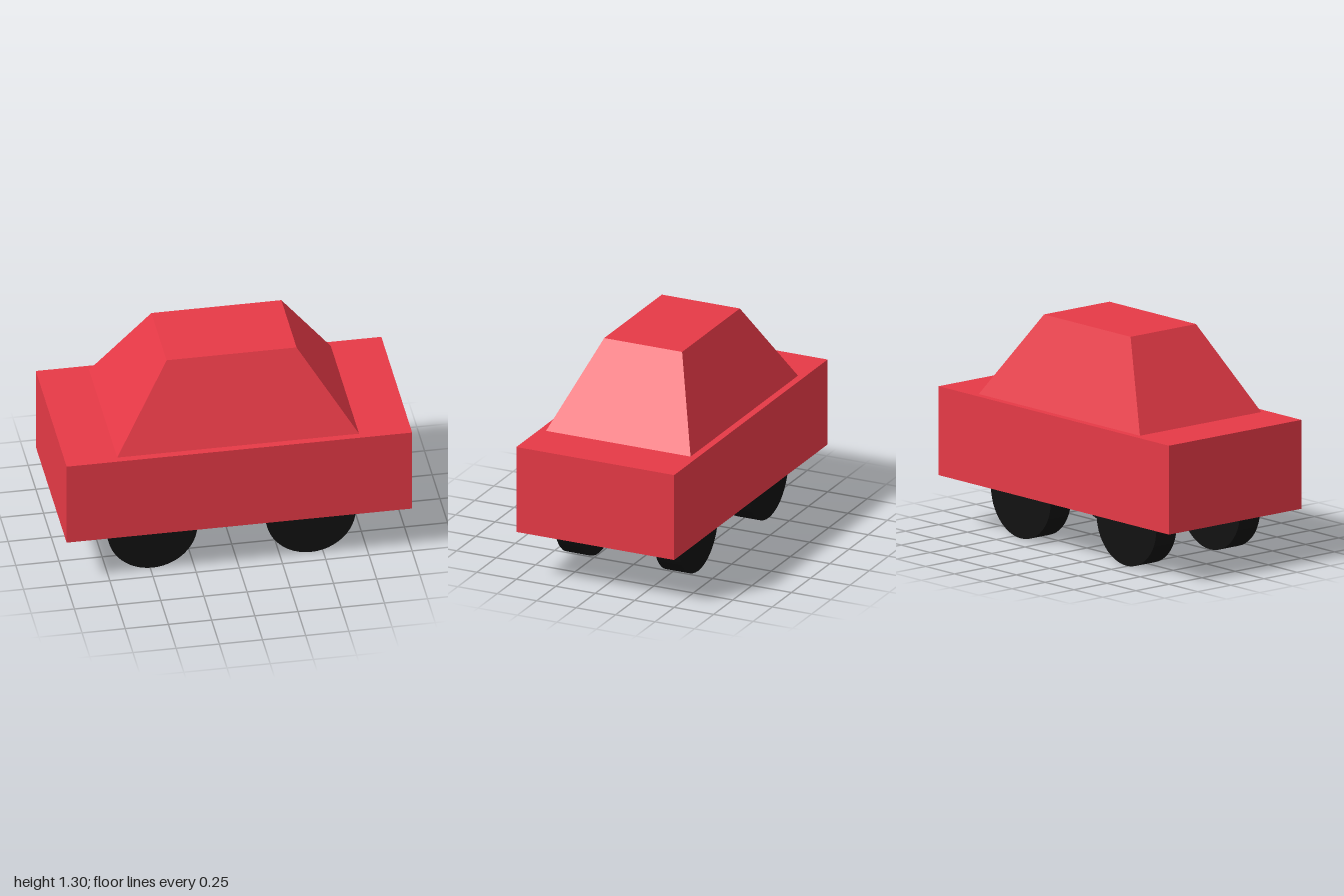
import * as THREE from 'three';

export function createModel() {
  const car = new THREE.Group();
  car.name = 'car';
  const paint = new THREE.MeshStandardMaterial({ color: 0xe63946 });
  const rubber = new THREE.MeshStandardMaterial({ color: 0x111111 });

  const add = (name, geometry, material, x, y, z) => {
    const mesh = new THREE.Mesh(geometry, material);
    mesh.name = name;
    mesh.position.set(x, y, z);
    car.add(mesh);
  };

  // Lower body
  add('body', new THREE.BoxGeometry(2, 0.52, 1), paint, 0, 0.55, 0);

  // Cabin: a box whose top is drawn in on all four sides
  const cabin = new THREE.BoxGeometry(1.4, 0.49, 0.916);
  const p = cabin.attributes.position;
  for (let i = 0; i < p.count; i++) {
    if (p.getY(i) > 0) {
      p.setX(i, Math.sign(p.getX(i)) * 0.376);
      p.setZ(i, Math.sign(p.getZ(i)) * 0.247);
    }
  }
  cabin.computeVertexNormals();
  add('cabin', cabin, paint, 0, 1.055, 0);

  // Wheels, with their upper halves inside the body
  const wheel = new THREE.CylinderGeometry(0.26, 0.26, 0.153, 48).rotateX(Math.PI / 2);
  for (const [end, x] of [['Right', -0.487], ['Left', 0.43]]) {
    for (const [side, z] of [['front', 0.333], ['back', -0.298]]) {
      add(`${side}${end}Wheel`, wheel, rubber, x, 0.26, z);
    }
  }
  return car;
}
